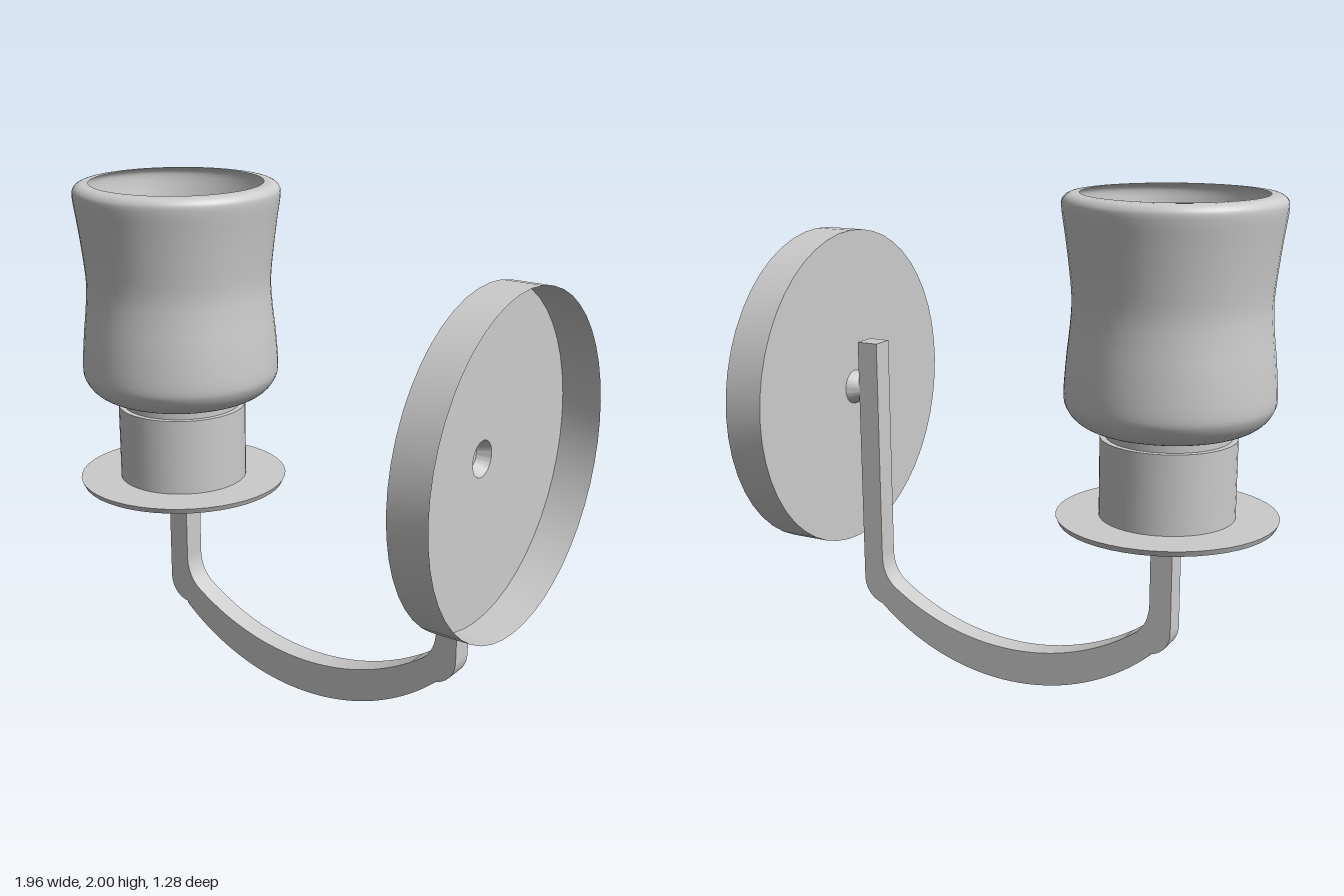
import * as THREE from 'three';
import { toCreasedNormals } from 'three/addons/utils/BufferGeometryUtils.js';

const SEG = 48;
const LAMP_X = -0.56; // axis of the cup and its holder
const ARM_X = 0.085; // mirror axis of the arm
const PLATE_Y = 1.147;

const grey = new THREE.MeshStandardMaterial({ color: 0xcccccc });
const greyThin = new THREE.MeshStandardMaterial({ color: 0xcccccc, side: THREE.DoubleSide });

function add(group, name, geometry, material, x = 0, y = 0, z = 0) {
  const mesh = new THREE.Mesh(geometry, material);
  mesh.name = name;
  mesh.position.set(x, y, z);
  group.add(mesh);
  return mesh;
}

const toVectors = (pairs) => pairs.map(([r, y]) => new THREE.Vector2(r, y));

// Side outline of the U-shaped arm, with a taller post on the left
function armShape() {
  const s = new THREE.Shape();
  const outer = { cy: 0.914, r: 0.909 };
  const inner = { cy: 1.081, r: 0.936 };
  const outerA = Math.asin(0.605 / outer.r);
  const innerA = Math.asin(0.545 / inner.r);
  const down = -Math.PI / 2;
  s.moveTo(ARM_X - 0.688, 0.785);
  s.lineTo(ARM_X - 0.688, 0.345);
  s.bezierCurveTo(ARM_X - 0.688, 0.29, ARM_X - 0.655, 0.25, ARM_X - 0.605, 0.243);
  s.absarc(ARM_X, outer.cy, outer.r, down - outerA, down + outerA, false);
  s.bezierCurveTo(ARM_X + 0.655, 0.25, ARM_X + 0.688, 0.29, ARM_X + 0.688, 0.345);
  s.lineTo(ARM_X + 0.688, 1.345);
  s.lineTo(ARM_X + 0.6, 1.345);
  s.lineTo(ARM_X + 0.6, 0.45);
  s.quadraticCurveTo(ARM_X + 0.6, 0.365, ARM_X + 0.545, 0.32);
  s.absarc(ARM_X, inner.cy, inner.r, down + innerA, down - innerA, true);
  s.quadraticCurveTo(ARM_X - 0.6, 0.365, ARM_X - 0.6, 0.45);
  s.lineTo(ARM_X - 0.6, 0.785);
  s.closePath();
  return s;
}

export function createModel() {
  const model = new THREE.Group();
  model.name = 'wallSconce';

  // Arm
  const arm = new THREE.ExtrudeGeometry(armShape(), { depth: 0.09, bevelEnabled: false, curveSegments: 20 });
  add(model, 'arm', arm, grey, 0, 0, -0.045);

  // Holder under the cup
  add(model, 'saucer', new THREE.CylinderGeometry(0.42, 0.41, 0.022, SEG), grey, LAMP_X, 0.79);
  add(model, 'socket', new THREE.CylinderGeometry(0.257, 0.257, 0.31, SEG), grey, LAMP_X, 0.95);
  add(model, 'neck', new THREE.CylinderGeometry(0.235, 0.235, 0.045, SEG), grey, LAMP_X, 1.1215);

  // Waisted thin cup with a rim turned inwards
  const wall = new THREE.SplineCurve(toVectors([
    [0.235, 1.14], [0.3, 1.15], [0.35, 1.178], [0.382, 1.22], [0.392, 1.27], [0.383, 1.4],
    [0.37, 1.52], [0.365, 1.62], [0.376, 1.74], [0.39, 1.85], [0.404, 1.95], [0.398, 1.982],
    [0.375, 1.998], [0.34, 2.0],
  ]));
  add(model, 'cup', new THREE.LatheGeometry(wall.getPoints(52), SEG), greyThin, LAMP_X);

  // Hollow wall plate with a tapered boss reaching back to the arm
  const pan = toVectors([[0.045, 0.77], [0.069, 0.822], [0.64, 0.822], [0.64, 0.98]]);
  const plate = toCreasedNormals(new THREE.LatheGeometry(pan, SEG), 0.5);
  add(model, 'wallPlate', plate, greyThin, 0, PLATE_Y).rotation.z = -Math.PI / 2;

  return model;
}
